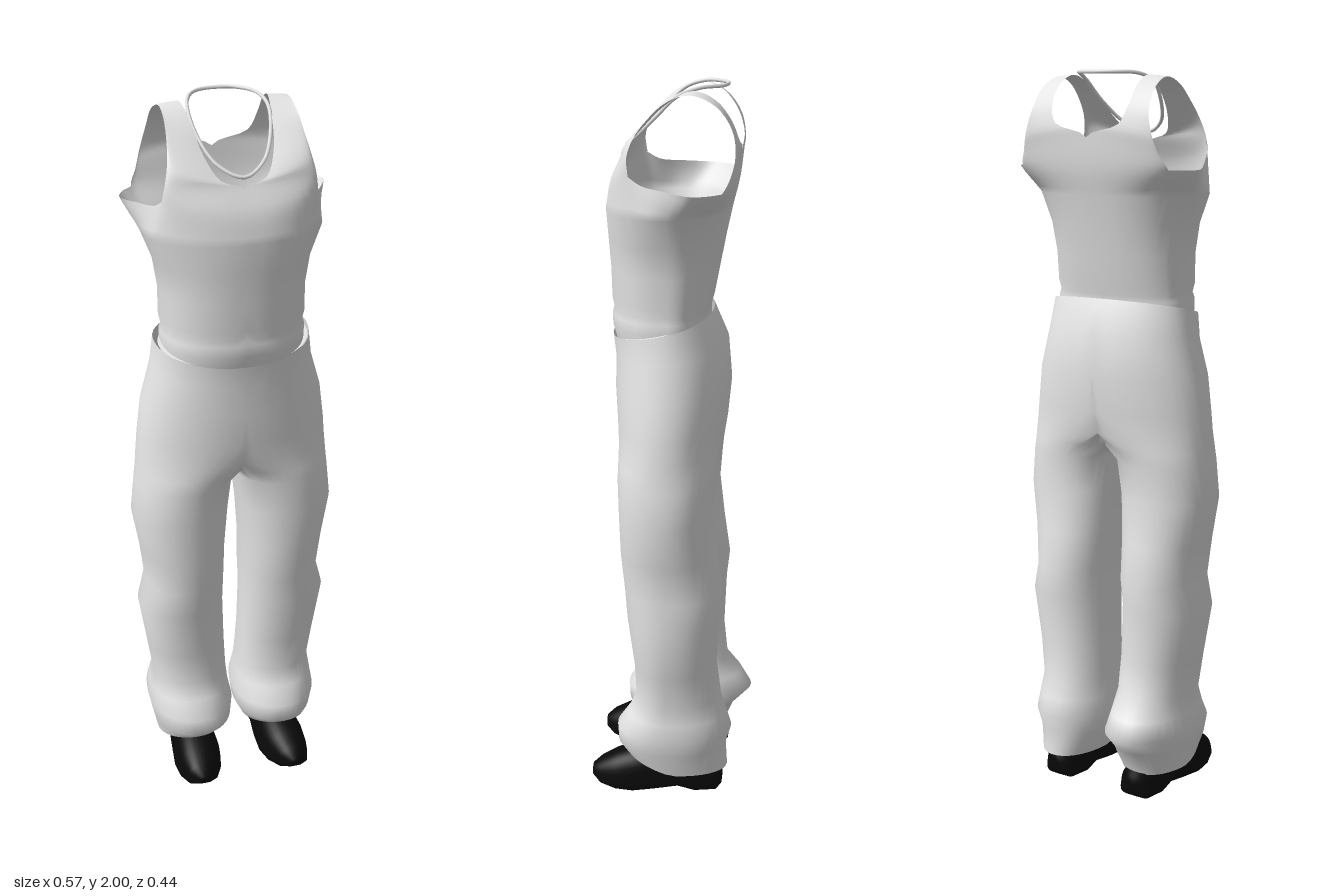
import * as THREE from 'three';
import { mergeGeometries, mergeVertices } from 'three/addons/utils/BufferGeometryUtils.js';

const V = (x, y, z) => new THREE.Vector3(x, y, z);
const mix = THREE.MathUtils.lerp;
const bend = (c, p) => Math.sign(c) * Math.abs(c) ** (2 / p);
const curve = pts => new THREE.CatmullRomCurve3(pts.map(p => V(...p)));

// Surface from a rule fn(u, v); side = -1 mirrors it across x = 0
function sheet(fn, nu, nv, { side = 1, inward = false } = {}) {
  const pts = [], idx = [];
  for (let j = 0; j <= nv; j++)
    for (let i = 0; i <= nu; i++) pts.push(fn(i / nu, j / nv));
  const tri = (a, b, c) => {
    if ([a, b, c].every(k => Math.abs(pts[k].x) < 1e-5)) return; // no wall on the centre line
    if ((side < 0) !== inward) idx.push(a, c, b);
    else idx.push(a, b, c);
  };
  for (let j = 0; j < nv; j++)
    for (let i = 0; i < nu; i++) {
      const a = j * (nu + 1) + i, c = a + nu + 1;
      tri(a, a + 1, c);
      tri(a + 1, c + 1, c);
    }
  const g = new THREE.BufferGeometry();
  g.setAttribute('position', new THREE.Float32BufferAttribute(pts.flatMap(p => [p.x * side, p.y, p.z]), 3));
  g.setIndex(idx);
  return g;
}

function smooth(list) {
  const g = mergeVertices(mergeGeometries(list), 1e-4);
  g.computeVertexNormals();
  return g;
}

// Rounded cross-section lying flat: [y, xMin, xMax, zFront, zBack, tilt]; u is in turns
function flatRing([y, x0, x1, zf, zb, tilt = 0], u, power) {
  const a = u * Math.PI * 2, c = bend(Math.cos(a), power), s = bend(Math.sin(a), power);
  const z = s > 0 ? s * zf : -s * zb;
  return V((x0 + x1) / 2 + c * (x1 - x0) / 2, y - tilt * z, z);
}

// Trouser leg sections, hem first; above the crotch each is one half of the hips
const LEG = [
  [0.085, 0.04, 0.225, 0.122, -0.17, -0.33],
  [0.15, 0.01, 0.24, 0.145, -0.165],
  [0.2, 0.005, 0.25, 0.147, -0.18],
  [0.25, 0.015, 0.243, 0.112, -0.165],
  [0.3, 0.02, 0.235, 0.092, -0.15],
  [0.4, 0.025, 0.25, 0.095, -0.138],
  [0.55, 0.03, 0.273, 0.112, -0.143],
  [0.63, 0.028, 0.252, 0.12, -0.152],
  [0.74, 0.025, 0.265, 0.13, -0.135],
  [0.86, 0.015, 0.286, 0.133, -0.12],
  [0.96, 0.003, 0.275, 0.137, -0.128],
  [1.0, -0.05, 0.271, 0.138, -0.133],
  [1.04, -0.14, 0.268, 0.141, -0.14],
  [1.1, -0.23, 0.263, 0.148, -0.15],
  [1.2, -0.25, 0.25, 0.155, -0.16],
  [1.3, -0.222, 0.222, 0.154, -0.15, 0.12],
  [1.378, -0.213, 0.213, 0.161, -0.111, 0.24],
];

function trouserHalf(side) {
  const rows = LEG.map(r => [...r]);
  if (side < 0) { // the right cuff kicks out behind, then tucks in
    rows[0][4] = -0.145;
    rows[1][4] = -0.172;
    rows[2][4] = -0.222;
    rows[3][4] = -0.192;
  }
  const n = rows.length - 1;
  return sheet((u, v) => {
    const p = flatRing(rows[Math.round(v * n)], u, 2.1);
    return V(Math.max(p.x, 0), Math.max(p.y, 0.08), p.z);
  }, 40, n, { side, inward: true });
}

// Shirt body sections: [y, xMin, xMax, zFront, zBack]
const BODY = [
  [1.33, -0.19, 0.19, 0.15, -0.097],
  [1.37, -0.195, 0.195, 0.161, -0.101],
  [1.4, -0.195, 0.195, 0.161, -0.102],
  [1.415, -0.189, 0.189, 0.157, -0.103],
  [1.44, -0.195, 0.195, 0.162, -0.11],
  [1.52, -0.195, 0.195, 0.164, -0.125],
  [1.6, -0.207, 0.207, 0.17, -0.14],
  [1.68, -0.238, 0.238, 0.175, -0.157],
];
const CHEST = BODY[BODY.length - 1];
const FRONT = 0.075, BACK = -0.08; // where the armhole starts and ends around the chest
const bodyRing = (row, u) => flatRing(row, u, 2.3);
const chestFront = u => bodyRing(CHEST, mix(0.25, FRONT, u));
const chestBack = u => bodyRing(CHEST, mix(-0.25, BACK, u));

// Neck edge and arm edge, from the chest over the shoulder to the back
const neckEdge = curve([
  [0, 1.68, 0.175], [0, 1.75, 0.16], [0, 1.81, 0.132], [0.058, 1.833, 0.12], [0.09, 1.885, 0.075],
  [0.105, 1.95, 0.01], [0.115, 1.987, -0.06], [0.12, 1.965, -0.12], [0.118, 1.915, -0.16],
  [0.098, 1.865, -0.178], [0, 1.83, -0.18], [0, 1.75, -0.173], [0, 1.68, -0.157]]);
const armEdge = curve([
  chestFront(1).toArray(), [0.203, 1.785, 0.094], [0.195, 1.83, 0.098], [0.185, 1.875, 0.083], [0.177, 1.92, 0.05],
  [0.172, 1.965, 0], [0.17, 1.982, -0.06], [0.175, 1.955, -0.125], [0.18, 1.9, -0.165],
  [0.195, 1.84, -0.175], [0.21, 1.79, -0.165], [0.228, 1.75, -0.145], chestBack(1).toArray()]);
const underTop = curve([[0.203, 1.785, 0.094], [0.215, 1.765, 0.06], [0.245, 1.757, 0], [0.274, 1.75, -0.07], [0.258, 1.75, -0.115], [0.228, 1.75, -0.145]]);

// Half of the body: chest columns, underarm columns, back columns
function bodyHalf(side) {
  const n = BODY.length - 1;
  const turn = k => k < 10 ? mix(0.25, FRONT, k / 10)
    : k < 26 ? mix(FRONT, BACK, (k - 10) / 16) : mix(BACK, -0.25, (k - 26) / 10);
  return sheet((u, v) => {
    const p = bodyRing(BODY[Math.round(v * n)], turn(Math.round(u * 36)));
    p.x = Math.max(p.x, 0);
    return p;
  }, 36, n, { side });
}

// Chest, strap and upper back, starting and ending on the chest section
function strapPanel(side) {
  const across = (u, v) => {
    const a = neckEdge.getPoint(v), b = armEdge.getPoint(v), h = u * Math.PI / 2;
    return V(mix(a.x, b.x, Math.sin(h)), mix(a.y, b.y, u), mix(a.z, b.z, 1 - Math.cos(h)));
  };
  return sheet((u, v) => {
    const p = across(u, v), end = v < 0.5 ? 0 : 1;
    const gap = (end ? chestBack(u) : chestFront(u)).sub(across(u, end));
    p.addScaledVector(gap, 1 - THREE.MathUtils.smoothstep(Math.abs(v - end), 0, 0.14));
    p.x = Math.max(p.x, 0);
    return p;
  }, 10, 48, { side });
}

// Underarm patch flaring to a point, its ends following the arm edge
function underarm(side) {
  const low = u => bodyRing(CHEST, mix(FRONT, BACK, u));
  const rise = (u, v) => low(u).lerp(underTop.getPoint(u), v);
  return sheet((u, v) => rise(u, v)
    .addScaledVector(armEdge.getPoint(v / 12).sub(rise(0, v)), 1 - u)
    .addScaledVector(armEdge.getPoint(1 - v / 12).sub(rise(1, v)), u), 16, 4, { side });
}

// Shoe sections from heel to toe: [z, centre x, half width, bottom, top]
const SHOE = [
  [-0.155, 0.128, 0, 0.05, 0.05], [-0.155, 0.128, 0.025, 0.02, 0.075], [-0.14, 0.128, 0.045, 0.008, 0.1],
  [-0.08, 0.128, 0.055, 0.005, 0.12], [-0.03, 0.128, 0.054, 0.016, 0.128], [0.04, 0.129, 0.062, 0.006, 0.135],
  [0.1, 0.132, 0.066, 0, 0.122], [0.15, 0.136, 0.059, 0.003, 0.104], [0.195, 0.14, 0.042, 0.014, 0.08],
  [0.22, 0.14, 0.018, 0.03, 0.058], [0.22, 0.14, 0, 0.045, 0.045],
];

function shoe(side) {
  const n = SHOE.length - 1;
  return smooth([sheet((u, v) => {
    const [z, cx, hw, y0, y1] = SHOE[Math.round(v * n)], a = u * Math.PI * 2;
    const p = Math.sin(a) < 0 ? 5 : 2.4, s = bend(Math.sin(a), p); // flat sole, rounded top
    return V(cx + hw * (1 - 0.15 * s) * bend(Math.cos(a), p), (y0 + y1) / 2 + (y1 - y0) / 2 * s, z);
  }, 28, n, { side })]);
}

export function createModel() {
  const group = new THREE.Group();
  const material = (name, color) => {
    const m = new THREE.MeshStandardMaterial({ color, side: THREE.DoubleSide });
    m.name = name;
    return m;
  };
  const cloth = material('pale cloth', 0xe6e6e6);
  const black = material('black leather', 0x090909);
  const add = (name, geometry, mat) => {
    const mesh = new THREE.Mesh(geometry, mat);
    mesh.name = name;
    group.add(mesh);
  };

  // Trousers, closed at the waist by a disc that follows the slope of the waistband
  add('trousers', smooth([trouserHalf(1), trouserHalf(-1)]), cloth);
  const waist = new THREE.CircleGeometry(1, 40).rotateX(-Math.PI / 2).scale(0.205, 1, 0.131)
    .rotateX(Math.atan(0.24)).translate(0, 1.37, 0.025);
  add('waistLining', waist, cloth);

  // Sleeveless shirt
  add('shirt', smooth([1, -1].flatMap(s => [bodyHalf(s), strapPanel(s), underarm(s)])), cloth);

  // Neck cord: one half mirrored into a closed loop
  const half = [[0.05, 1.994, -0.13], [0.09, 1.992, -0.075], [0.104, 1.972, -0.02], [0.094, 1.92, 0.035], [0.06, 1.865, 0.09]];
  const loop = [[0, 1.994, -0.142], ...half, [0, 1.838, 0.122], ...half.map(([x, y, z]) => [-x, y, z]).reverse()];
  const path = new THREE.CatmullRomCurve3(loop.map(p => V(...p)), true);
  add('neckCord', new THREE.TubeGeometry(path, 64, 0.005, 6, true), cloth);

  // Shoes
  add('leftShoe', shoe(1), black);
  add('rightShoe', shoe(-1), black);
  return group;
}
